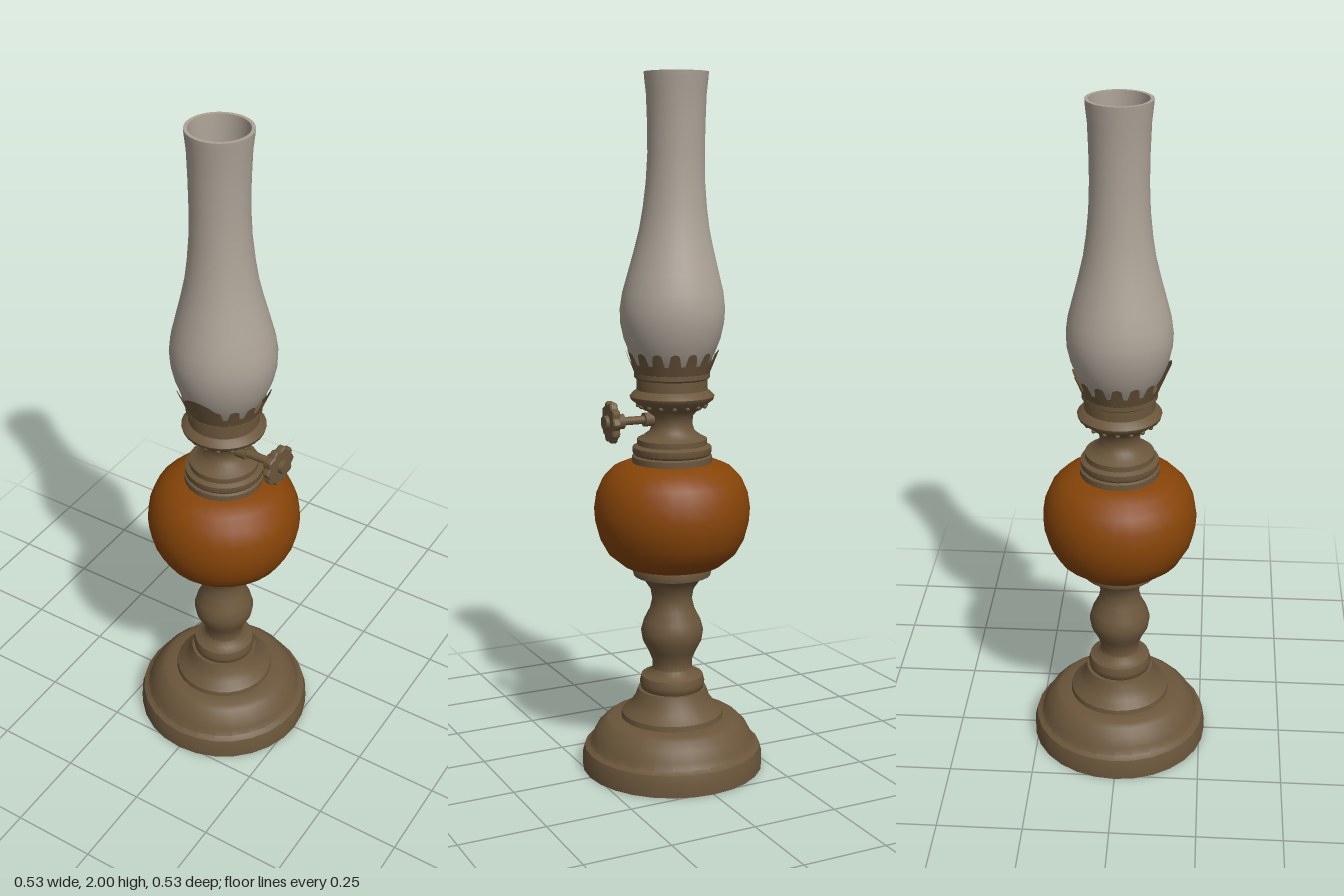
import * as THREE from 'three';
import { toCreasedNormals } from 'three/addons/utils/BufferGeometryUtils.js';

const mat = (name, color, side = THREE.FrontSide) => {
  const m = new THREE.MeshStandardMaterial({ color, side });
  m.name = name;
  return m;
};

export function createModel() {
  const lamp = new THREE.Group();
  lamp.name = 'oilLamp';
  const brass = mat('agedBrass', 0x6b563b);
  const brassSheet = mat('agedBrassSheet', 0x6b563b, THREE.DoubleSide);
  const amber = mat('amberGlass', 0x864408);
  const glass = mat('frostedGlass', 0xaca296, THREE.DoubleSide);

  const add = (name, geometry, material, parent = lamp) => {
    const mesh = new THREE.Mesh(geometry, material);
    mesh.name = name;
    parent.add(mesh);
    return mesh;
  };
  // Turned part from [radius, height] pairs, listed bottom to top
  const turned = (profile, sides = 28, crease = 0.7) => toCreasedNormals(
    new THREE.LatheGeometry(profile.map(([r, y]) => new THREE.Vector2(r, y)), sides), crease);

  // Stepped bell foot
  add('foot', turned([
    [0, 0], [0.265, 0], [0.265, 0.035], [0.258, 0.062], [0.243, 0.07], [0.235, 0.09],
    [0.22, 0.118], [0.2, 0.138], [0.187, 0.147], [0.15, 0.15], [0.148, 0.165],
    [0.125, 0.185], [0.11, 0.205], [0.1, 0.235], [0, 0.235],
  ]), brass);

  // Baluster stem and cup under the font
  add('stem', turned([
    [0.08, 0.225], [0.092, 0.238], [0.095, 0.255], [0.09, 0.275], [0.07, 0.282], [0.058, 0.297],
    [0.058, 0.32], [0.07, 0.35], [0.086, 0.38], [0.091, 0.41], [0.083, 0.44], [0.065, 0.475],
    [0.058, 0.505], [0.063, 0.535], [0.08, 0.56], [0.09, 0.572], [0.112, 0.578],
    [0.116, 0.602], [0.11, 0.615], [0, 0.615],
  ]), brass);

  // Round oil font
  add('oilFont', turned([
    [0, 0.6], [0.11, 0.602], [0.145, 0.612], [0.185, 0.645], [0.21, 0.69], [0.222, 0.735],
    [0.225, 0.775], [0.218, 0.82], [0.2, 0.862], [0.17, 0.893], [0.13, 0.91], [0, 0.915],
  ], 28, 1.2), amber);

  // Screw collar and burner body
  add('collar', turned([
    [0.105, 0.9], [0.115, 0.91], [0.115, 0.928], [0.108, 0.932], [0.113, 0.938], [0.113, 0.955],
    [0.1, 0.962], [0.1, 0.978], [0.085, 0.985], [0.065, 1.0], [0.058, 1.02], [0.06, 1.045],
    [0.075, 1.062], [0.085, 1.07], [0, 1.07],
  ]), brass);
  add('burnerGallery', turned([
    [0, 1.06], [0.082, 1.062], [0.095, 1.075], [0.118, 1.092], [0.121, 1.102], [0.112, 1.112],
    [0.101, 1.12], [0.101, 1.15], [0.108, 1.155], [0.108, 1.168], [0.1, 1.172], [0, 1.172],
  ]), brass);

  // Small studs around the underside of the gallery
  const studs = new THREE.Group();
  studs.name = 'galleryStuds';
  lamp.add(studs);
  for (let i = 0; i < 16; i++) {
    const a = (i / 16) * Math.PI * 2;
    add('stud', new THREE.SphereGeometry(0.007, 8, 6), brass, studs)
      .position.set(Math.sin(a) * 0.097, 1.075, Math.cos(a) * 0.097);
  }

  // Toothed crown gripping the chimney, with one tall prong at the front
  const crownGeo = new THREE.CylinderGeometry(1, 1, 1, 128, 3, true);
  const p = crownGeo.attributes.position;
  const v = new THREE.Vector3();
  for (let i = 0; i < p.count; i++) {
    v.fromBufferAttribute(p, i);
    const a = Math.atan2(v.x, v.z);
    const t = v.y + 0.5;
    const tooth = Math.cos(a * 16) > -0.35 ? 0.226 + 0.006 * Math.cos(a * 16) : 0.196;
    const prong = Math.abs(a) < 0.42 ? 1.262 - 0.2 * a * a : 0;
    const top = Math.max(1 + tooth, prong);
    const y = 1.16 + (top - 1.16) * t;
    const r = 0.104 + 0.02 * Math.min(1, (y - 1.16) / 0.05) + Math.max(0, y - 1.21) * 0.42;
    p.setXYZ(i, Math.sin(a) * r, y, Math.cos(a) * r);
  }
  crownGeo.computeVertexNormals();
  add('crown', crownGeo, brassSheet);

  // Flat wick tube inside the chimney
  add('wickTube', new THREE.BoxGeometry(0.075, 0.05, 0.065), brass).position.set(0, 1.19, 0);

  // Hollow chimney, leaning very slightly
  const chimneyGeo = turned([
    [0.04, 1.182], [0.095, 1.18], [0.107, 1.2], [0.12, 1.222], [0.137, 1.265], [0.147, 1.31],
    [0.149, 1.35], [0.143, 1.395], [0.13, 1.445], [0.113, 1.51], [0.099, 1.57], [0.09, 1.63],
    [0.083, 1.7], [0.08, 1.78], [0.081, 1.86], [0.084, 1.94], [0.089, 1.985], [0.09, 2.0],
    [0.08, 2.0], [0.076, 1.94], [0.073, 1.78], [0.082, 1.63], [0.105, 1.51], [0.135, 1.395],
    [0.14, 1.33], [0.125, 1.25], [0.09, 1.19], [0.04, 1.186],
  ], 32, 0.9);
  const q = chimneyGeo.attributes.position;
  for (let i = 0; i < q.count; i++) {
    q.setX(i, q.getX(i) - 0.013 * Math.min(1, Math.max(0, (q.getY(i) - 1.3) / 0.5)));
  }
  add('chimney', chimneyGeo, glass);

  // Wick knob: shaft, hub and scalloped wheel, built along +x
  const knob = new THREE.Group();
  knob.name = 'wickKnob';
  knob.position.set(0, 1.036, 0.01);
  lamp.add(knob);
  const alongX = (name, r, x0, x1, sides = 16) => {
    const m = add(name, new THREE.CylinderGeometry(r, r, x1 - x0, sides), brass, knob);
    m.rotation.z = -Math.PI / 2;
    m.position.x = (x0 + x1) / 2;
  };
  alongX('knobShaft', 0.012, 0.04, 0.18, 12);
  alongX('shaftSleeve', 0.02, 0.04, 0.085);
  alongX('knobHub', 0.022, 0.15, 0.178);
  alongX('knobButton', 0.02, 0.19, 0.209);
  const rim = new THREE.Shape();
  for (let i = 0; i <= 60; i++) {
    const a = (i / 60) * Math.PI * 2;
    const r = 0.053 + 0.004 * Math.cos(a * 10);
    if (i) rim.lineTo(Math.cos(a) * r, Math.sin(a) * r);
    else rim.moveTo(r, 0);
  }
  const wheel = add('knobWheel', toCreasedNormals(new THREE.ExtrudeGeometry(rim, {
    depth: 0.014, bevelEnabled: true, bevelSize: 0.003, bevelThickness: 0.004, bevelSegments: 1,
  }), 0.6), brass, knob);
  wheel.rotation.set(0, Math.PI / 2 - 0.12, 0);
  wheel.position.x = 0.178;

  return lamp;
}
